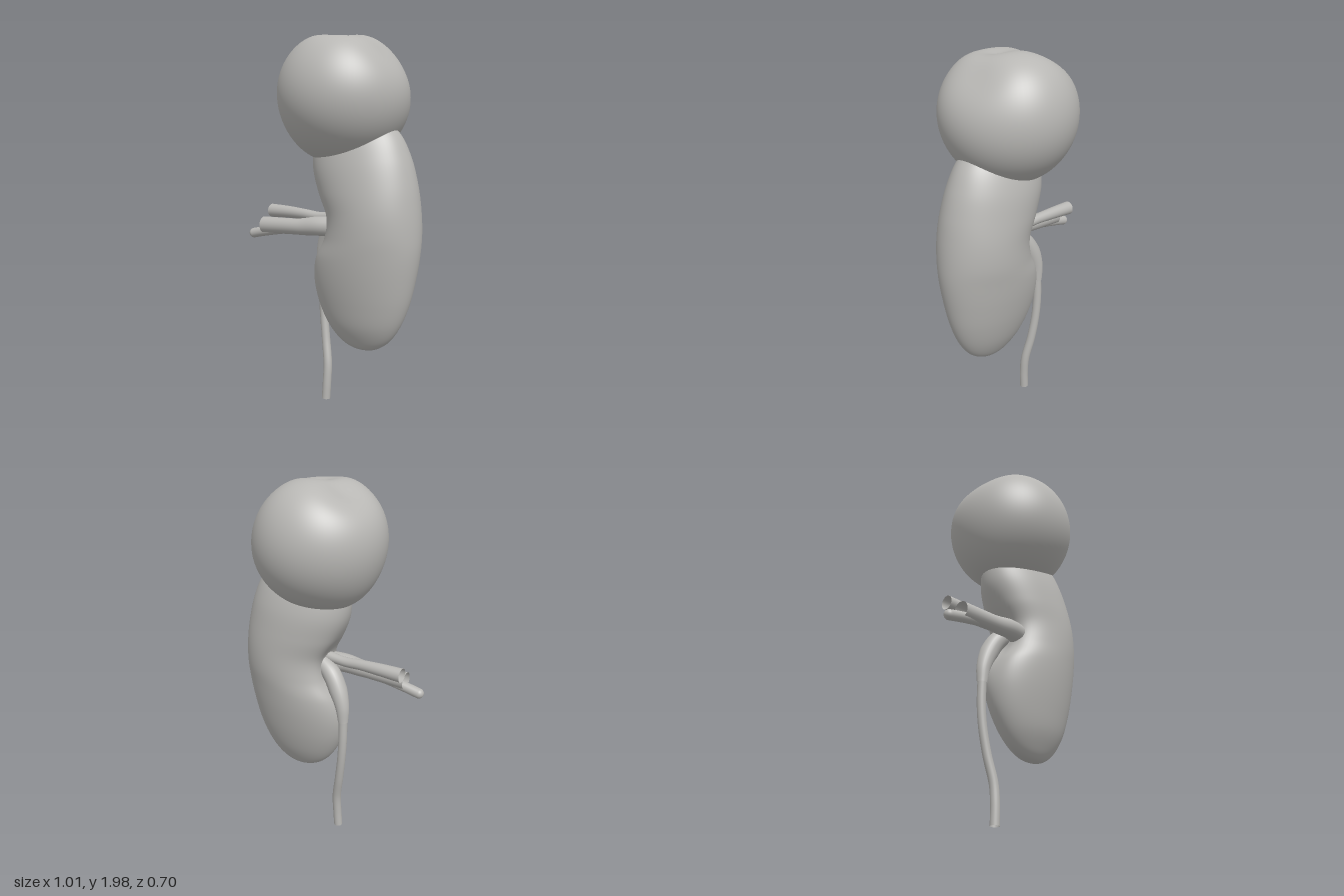
import * as THREE from 'three';
import { mergeVertices } from 'three/addons/utils/BufferGeometryUtils.js';

const V = (x, y, z = 0) => new THREE.Vector3(x, y, z);
const gauss = (d, w) => Math.exp(-(d * d) / (w * w));

// Kidney outline: inner x, inner y, outer x, outer y, front z, back z
const SECTIONS = [
  [0.185, 0.34, 0.185, 0.34, 0.02, 0.02],
  [0.10, 0.362, 0.27, 0.358, 0.062, -0.022],
  [0.03, 0.41, 0.345, 0.41, 0.098, -0.06],
  [-0.03, 0.49, 0.405, 0.50, 0.138, -0.103],
  [-0.08, 0.60, 0.45, 0.62, 0.168, -0.142],
  [-0.105, 0.72, 0.48, 0.76, 0.193, -0.173],
  [-0.095, 0.83, 0.497, 0.89, 0.208, -0.193],
  [-0.04, 0.94, 0.498, 1.00, 0.213, -0.205],
  [-0.025, 1.05, 0.488, 1.12, 0.212, -0.208],
  [-0.075, 1.17, 0.468, 1.24, 0.204, -0.205],
  [-0.115, 1.30, 0.43, 1.37, 0.183, -0.192],
  [-0.112, 1.43, 0.37, 1.485, 0.145, -0.155],
  [-0.065, 1.54, 0.27, 1.575, 0.09, -0.10],
  [0.0, 1.595, 0.19, 1.605, 0.05, -0.055],
  [0.09, 1.615, 0.09, 1.615, 0, 0],
];

function kidneyGeometry() {
  const spline = (f) => new THREE.CatmullRomCurve3(SECTIONS.map(f), false, 'catmullrom', 0.5);
  const inner = spline((s) => V(s[0], s[1]));
  const outer = spline((s) => V(s[2], s[3]));
  const depth = spline((s) => V(s[4], s[5]));
  const rows = 112, cols = 72, pos = [], idx = [];
  for (let i = 0; i <= rows; i++) {
    const t = i / rows, a = inner.getPoint(t), b = outer.getPoint(t), d = depth.getPoint(t);
    const zMid = (d.x + d.y) / 2, zHalf = (d.x - d.y) / 2;
    for (let j = 0; j < cols; j++) {
      const ang = (j / cols) * Math.PI * 2, c = Math.cos(ang);
      const p = a.clone().lerp(b, (c + 1) / 2);
      const z = zMid + zHalf * Math.sin(ang);
      // hollow of the inner edge where the vessels enter
      if (c < 0) p.x += 0.055 * gauss(p.y - 0.98, 0.19) * gauss(z, 0.085) * Math.min(1, -2 * c);
      pos.push(p.x, p.y, z);
      if (i < rows) {
        const k = i * cols + j, n = i * cols + (j + 1) % cols;
        idx.push(k, k + cols, n, n, k + cols, n + cols);
      }
    }
  }
  const g = new THREE.BufferGeometry();
  g.setAttribute('position', new THREE.Float32BufferAttribute(pos, 3));
  g.setIndex(idx);
  g.computeVertexNormals();
  return g;
}

// Lumpy sphere: direction, radius change, angular width
function growthGeometry() {
  const lumps = [
    [V(-0.55, 0.85, -0.12), -0.055, 0.42],
    [V(0.75, 0.75, -0.05), -0.045, 0.5],
    [V(0.05, 1, 0.2), -0.055, 0.33],
    [V(0.05, 1, -0.25), -0.018, 0.4],
    [V(0.8, 0.2, -0.6), -0.012, 0.5],
    [V(-0.55, -0.85, 0), 0.02, 0.5],
    [V(0, 0, 1), 0.006, 0.6],
  ];
  lumps.forEach((l) => l[0].normalize());
  let g = new THREE.SphereGeometry(1, 80, 56);
  g.deleteAttribute('uv');
  g.deleteAttribute('normal');
  g = mergeVertices(g, 1e-5);
  const p = g.attributes.position, v = V(0, 0, 0);
  for (let i = 0; i < p.count; i++) {
    v.fromBufferAttribute(p, i).normalize();
    let r = 0.346;
    for (const [dir, amount, width] of lumps) r += amount * gauss(v.angleTo(dir), width);
    v.multiplyScalar(r);
    p.setXYZ(i, v.x + 0.06, v.y + 1.68, v.z);
  }
  g.computeVertexNormals();
  return g;
}

// Open tube along a smooth path, radius running through the given values
function vesselGeometry(points, radii) {
  const curve = new THREE.CatmullRomCurve3(points.map((q) => V(...q)));
  const seg = 40, sides = 24;
  const g = new THREE.TubeGeometry(curve, seg, 1, sides);
  const p = g.attributes.position, v = V(0, 0, 0);
  for (let k = 0; k < p.count; k++) {
    const t = Math.floor(k / (sides + 1)) / seg;
    const f = t * (radii.length - 1), i = Math.min(Math.floor(f), radii.length - 2);
    const r = THREE.MathUtils.lerp(radii[i], radii[i + 1], f - i);
    const c = curve.getPointAt(t);
    v.fromBufferAttribute(p, k).sub(c).multiplyScalar(r).add(c);
    p.setXYZ(k, v.x, v.y, v.z);
  }
  return g;
}

export function createModel() {
  const group = new THREE.Group();
  const tissue = new THREE.MeshStandardMaterial({ color: 0xb8b7b4 });
  tissue.name = 'tissueGrey';
  tissue.side = THREE.DoubleSide;
  const add = (name, geometry) => {
    const m = new THREE.Mesh(geometry, tissue);
    m.name = name;
    group.add(m);
    return m;
  };

  add('kidneyBody', kidneyGeometry());
  add('roundGrowth', growthGeometry());

  // Vessels leaving the inner edge
  add('rearVessel', vesselGeometry(
    [[-0.42, 1.04, 0.006], [-0.3, 1.042, 0.012], [-0.18, 1.04, 0.02], [-0.08, 1.035, 0.025], [0.06, 1.05, 0.03]],
    [0.037, 0.033, 0.028, 0.026, 0.03]));
  add('frontVessel', vesselGeometry(
    [[-0.405, 0.972, 0.095], [-0.28, 0.978, 0.095], [-0.15, 0.985, 0.095], [-0.05, 0.997, 0.09], [0.04, 1.0, 0.07]],
    [0.046, 0.044, 0.043, 0.05, 0.055]));
  add('thinVessel', vesselGeometry(
    [[-0.48, 0.919, 0.095], [-0.4, 0.937, 0.095], [-0.28, 0.96, 0.093], [-0.1, 0.985, 0.08]],
    [0.027, 0.027]));
  add('thinVesselTip', new THREE.SphereGeometry(0.027, 24, 16)).position.set(-0.48, 0.919, 0.095);

  // Funnel and the long duct hanging below it
  add('funnel', vesselGeometry(
    [[-0.112, 0.715, -0.045], [-0.105, 0.8, -0.043], [-0.075, 0.89, -0.035], [-0.025, 0.97, -0.02], [0.05, 1.02, 0]],
    [0.027, 0.038, 0.05, 0.05, 0.04]));
  add('duct', vesselGeometry(
    [[-0.06, 0, 0], [-0.055, 0.1, -0.003], [-0.056, 0.2, -0.012], [-0.082, 0.34, -0.033],
      [-0.103, 0.48, -0.045], [-0.112, 0.6, -0.048], [-0.112, 0.73, -0.045]],
    [0.024, 0.024, 0.023, 0.024]));
  return group;
}
